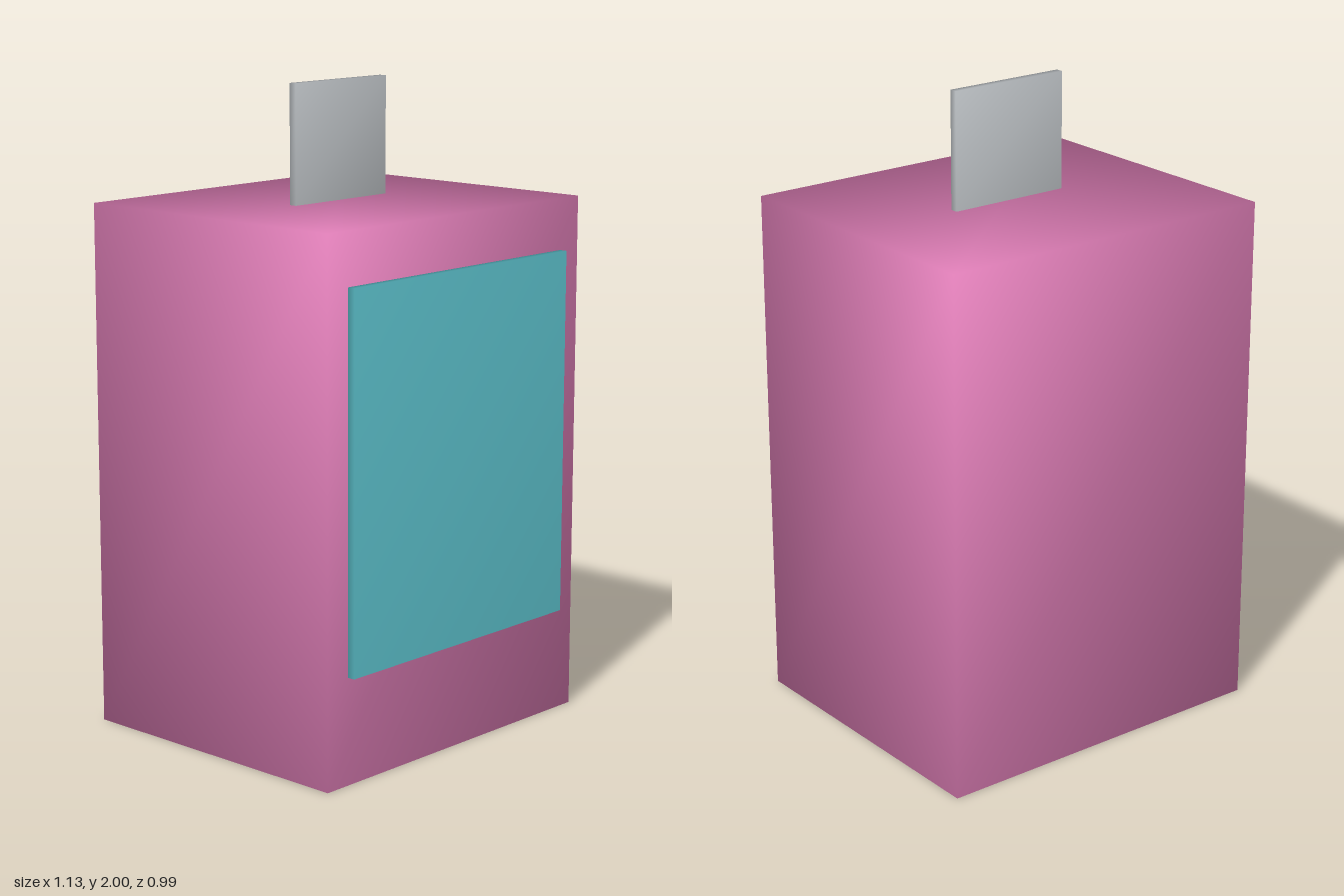
import * as THREE from 'three';
import { mergeVertices } from 'three/addons/utils/BufferGeometryUtils.js';

// Box given by its limits, with normals shared across the corners for soft shading
function softBox(name, material, [x0, x1], [y0, y1], [z0, z1]) {
  const box = new THREE.BoxGeometry(x1 - x0, y1 - y0, z1 - z0);
  box.deleteAttribute('normal');
  box.deleteAttribute('uv');
  const geometry = mergeVertices(box);
  geometry.clearGroups();
  geometry.computeVertexNormals();
  const mesh = new THREE.Mesh(geometry, material);
  mesh.name = name;
  mesh.position.set((x0 + x1) / 2, (y0 + y1) / 2, (z0 + z1) / 2);
  return mesh;
}

export function createModel() {
  const pink = new THREE.MeshStandardMaterial({ color: 0xe07fb8 });
  pink.name = 'pink';
  const turquoise = new THREE.MeshStandardMaterial({ color: 0x66d4e0 });
  turquoise.name = 'turquoise';
  const silver = new THREE.MeshStandardMaterial({ color: 0xd3d8dc });
  silver.name = 'silver';

  const model = new THREE.Group();
  model.name = 'boxWithPanel';
  model.add(
    // Main block
    softBox('body', pink, [-0.565, 0.565], [0, 1.635], [-0.495, 0.47]),
    // Raised panel on the front
    softBox('frontPanel', turquoise, [-0.48, 0.48], [0.33, 1.475], [0.47, 0.495]),
    // Thin upright plate on top
    softBox('topPlate', silver, [-0.2, 0.2], [1.635, 2], [-0.025, 0]),
  );
  return model;
}
